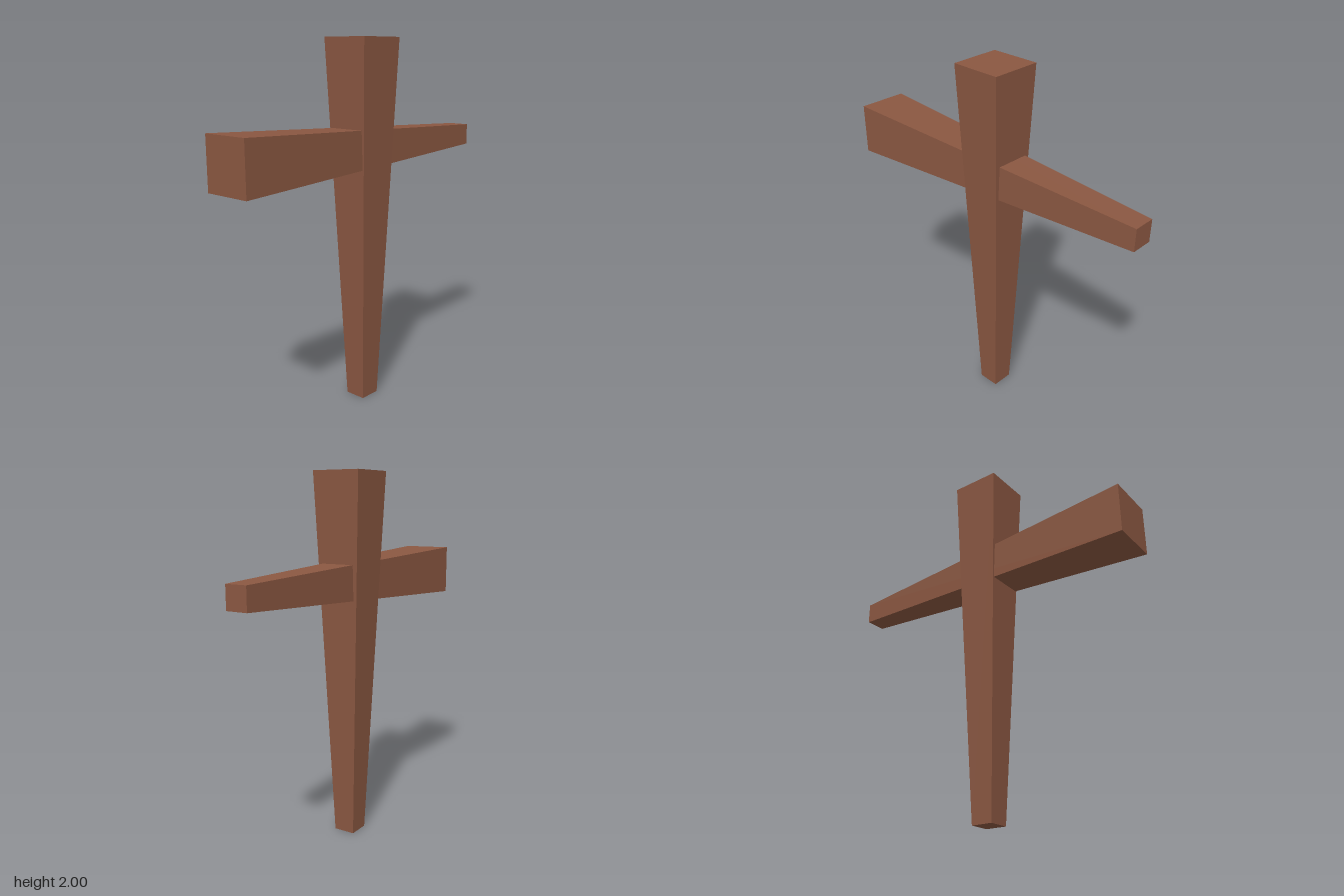
import * as THREE from 'three';

// Square beam along y, narrow at the bottom and wide at the top
function taperedBeam(length, halfWide, halfNarrow) {
  const geometry = new THREE.BoxGeometry(2, length, 2);
  const p = geometry.attributes.position;
  for (let i = 0; i < p.count; i++) {
    const half = p.getY(i) > 0 ? halfWide : halfNarrow;
    p.setXYZ(i, p.getX(i) * half, p.getY(i), p.getZ(i) * half);
  }
  geometry.computeVertexNormals();
  return geometry;
}

export function createModel() {
  const model = new THREE.Group();
  model.name = 'woodenCross';

  const wood = new THREE.MeshStandardMaterial({ color: 0x8a5741 });
  wood.name = 'brown wood';

  // Upright post
  const post = new THREE.Mesh(taperedBeam(2, 0.138, 0.06), wood);
  post.name = 'post';
  post.position.y = 1;

  // Crossbeam, wide end towards the front
  const crossbeam = new THREE.Mesh(taperedBeam(1.82, 0.138, 0.06), wood);
  crossbeam.name = 'crossbeam';
  crossbeam.rotation.x = Math.PI / 2;
  crossbeam.position.y = 1.428;

  model.add(post, crossbeam);
  return model;
}
